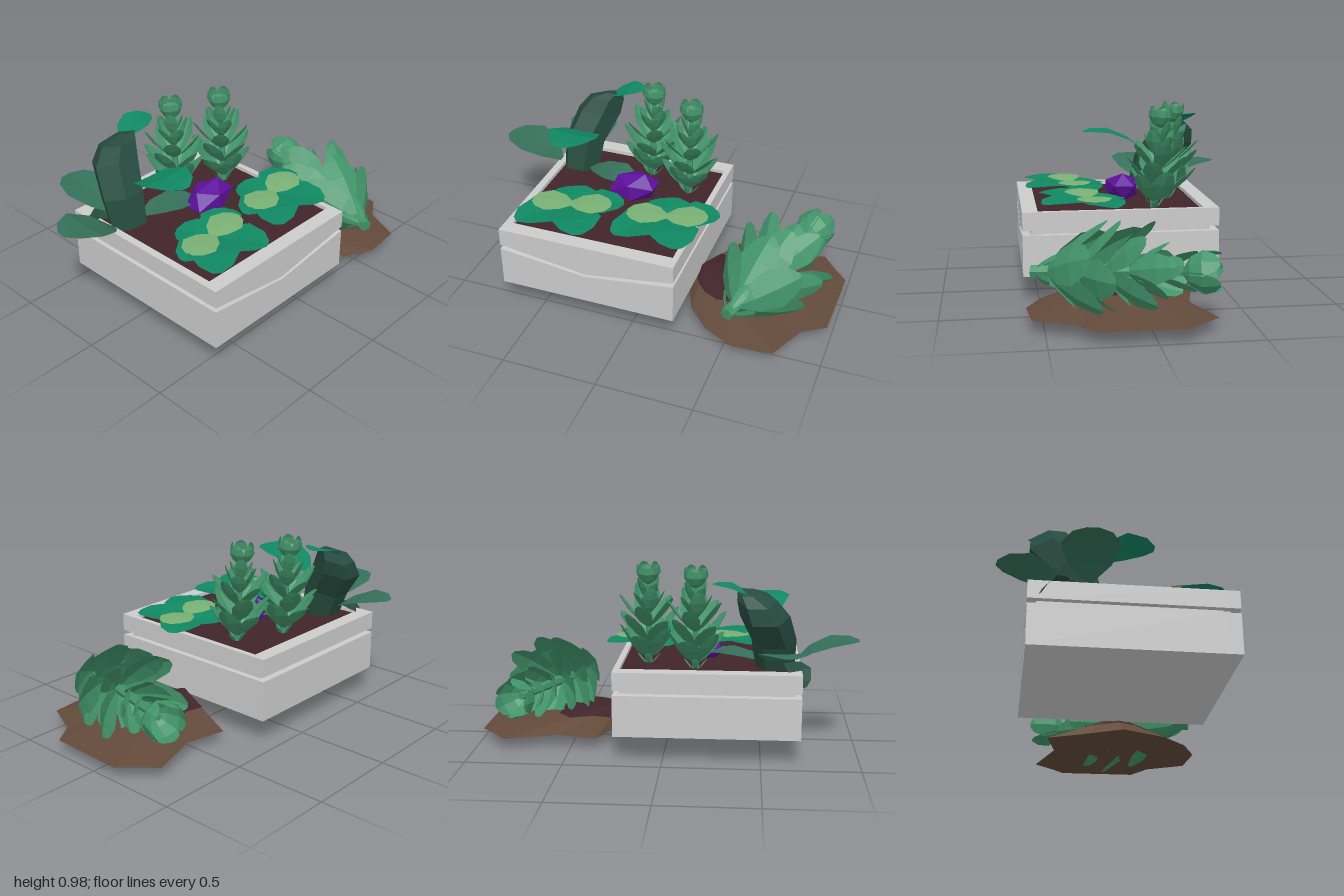
import * as THREE from 'three';

const mat = (color) => new THREE.MeshStandardMaterial({ color, flatShading: true, side: THREE.DoubleSide });
const grey = mat(0xcccccc), soil = mat(0x40252a), earth = mat(0x624a3a), green = mat(0x42946a);
const teal = mat(0x108862), pale = mat(0x79b074), dark = mat(0x264c3f), moss = mat(0x35705a), purple = mat(0x5d109c);
const V = (x, y, z) => new THREE.Vector3(x, y, z);

function add(parent, name, geometry, material, x = 0, y = 0, z = 0) {
  const mesh = new THREE.Mesh(geometry, material);
  mesh.name = name;
  mesh.position.set(x, y, z);
  parent.add(mesh);
  return mesh;
}

function facets(points, index) {
  let g = new THREE.BufferGeometry().setFromPoints(points);
  g.setIndex(index);
  g = g.toNonIndexed();
  g.computeVertexNormals();
  return g;
}

// Fan of triangles from an apex to a closed ring
function fan(apex, ring) {
  const index = [];
  ring.forEach((_, i) => index.push(0, 1 + (i + 1) % ring.length, 1 + i));
  return facets([apex, ...ring], index);
}

// Paddle leaf from base to tip: creased along the midrib and arched by bend
function leaf(from, to, width, { up = V(0, 1, 0), fold = 0.15, bend = 0.1 } = {}) {
  const dir = to.clone().sub(from), length = dir.length();
  const side = up.clone().cross(dir).normalize();
  const normal = dir.clone().cross(side).normalize();
  const points = [], index = [];
  [[0, 0.15], [0.25, 0.72], [0.6, 1], [0.88, 0.65], [1, 0.2]].forEach(([t, w], row) => {
    const mid = from.clone().addScaledVector(dir, t).addScaledVector(normal, bend * length * 4 * t * (1 - t));
    for (const s of [-1, 0, 1]) {
      points.push(mid.clone().addScaledVector(side, s * w * width / 2)
        .addScaledVector(normal, s ? fold * w * width / 2 : 0));
    }
    if (row) for (const c of [0, 1]) {
      const a = row * 3 + c - 3;
      index.push(a, a + 3, a + 1, a + 1, a + 3, a + 4);
    }
  });
  return facets(points, index);
}

// Planter box: lower tub, notched front board, recessed core and rim
function planter() {
  const g = new THREE.Group();
  g.name = 'planter';
  const poly = (pts) => new THREE.Shape(pts.map(([x, y]) => new THREE.Vector2(x, y)));
  const extrude = (shape, depth) => new THREE.ExtrudeGeometry(shape, { depth, bevelEnabled: false });
  add(g, 'tub', new THREE.BoxGeometry(0.95, 0.215, 0.94), grey, -0.225, 0.2975, 0.03);
  add(g, 'frontBoard', extrude(poly([[-0.7, 0.19], [0.25, 0.19], [0.25, 0.405], [-0.225, 0.345], [-0.7, 0.405]]), 0.08), grey, 0, 0, 0.5);
  add(g, 'frontRail', extrude(poly([[-0.7, 0.43], [-0.225, 0.36], [0.25, 0.43], [0.25, 0.525], [-0.7, 0.525]]), 0.08), grey, 0, 0, 0.5);
  add(g, 'core', new THREE.BoxGeometry(0.89, 0.14, 0.93), grey, -0.225, 0.42, 0.07);
  for (const x of [-0.68, 0.235]) {
    add(g, 'sideRail', new THREE.BoxGeometry(x < 0 ? 0.04 : 0.03, 0.095, 0.94), grey, x, 0.4775, 0.03);
  }
  add(g, 'backRail', new THREE.BoxGeometry(0.95, 0.095, 0.08), grey, -0.225, 0.4775, -0.4);
  add(g, 'soilBed', new THREE.BoxGeometry(0.88, 0.02, 0.86), soil, -0.22, 0.495, 0.07);
  return g;
}

// Upright plant: stem with tiers of leaves that climb to a small head
function tieredPlant(name) {
  const g = new THREE.Group();
  g.name = name;
  add(g, 'stem', new THREE.CylinderGeometry(0.02, 0.035, 0.8, 6), green, 0, 0.4, 0);
  const tiers = [ // base height, tip height, reach, width, count
    [0.02, 0.14, 0.1, 0.06, 4], [0.08, 0.36, 0.25, 0.22, 6], [0.22, 0.49, 0.27, 0.19, 5], [0.36, 0.62, 0.25, 0.16, 5],
    [0.48, 0.7, 0.14, 0.15, 5], [0.6, 0.78, 0.1, 0.12, 4], [0.74, 0.92, 0.09, 0.14, 5],
  ];
  tiers.forEach(([y0, y1, reach, width, count], tier) => {
    for (let i = 0; i < count; i++) {
      const a = (i / count) * Math.PI * 2 + tier * 0.8;
      const tip = V(Math.cos(a) * reach, y1 + 0.025 * (i % 2 ? 1 : -1) * (tier < 6 ? 1 : 0), Math.sin(a) * reach);
      add(g, 'leaf', leaf(V(Math.cos(a) * 0.02, y0, Math.sin(a) * 0.02), tip, width,
        { bend: tier === 6 ? -0.22 : -0.06, fold: 0.25 }), green);
    }
  });
  return g;
}

// Low rosette: teal leaves around the base and two pale ones on top
function groundPlant(x, z) {
  const g = new THREE.Group();
  g.name = 'groundPlant';
  g.position.set(x, 0.53, z);
  const leaves = [ // tip x, z, height, width
    [-0.22, 0.25, 0.035, 0.25], [0.13, 0.26, 0.03, 0.26], [0.24, -0.1, 0.025, 0.23], [-0.09, -0.16, 0.02, 0.24],
    [-0.24, 0.04, 0.015, 0.2],
  ];
  for (const [lx, lz, y, w] of leaves) {
    add(g, 'tealLeaf', leaf(V(lx * -0.1, 0, lz * -0.1), V(lx, y, lz), w, { bend: 0.05, fold: 0.1 }), teal);
  }
  add(g, 'paleLeaf', leaf(V(0, 0.04, 0.02), V(-0.215, 0.05, 0.06), 0.19, { bend: 0.04, fold: -0.05 }), pale);
  add(g, 'paleLeaf', leaf(V(-0.02, 0.04, 0.02), V(0.2, 0.05, -0.02), 0.19, { bend: 0.04, fold: -0.05 }), pale);
  return g;
}

// Thick leaning trunk made of six-sided rings, with broad bent leaves
function trunkPlant() {
  const g = new THREE.Group();
  g.name = 'trunkPlant';
  const rings = [ // centre x, y, z, radius
    [-0.57, 0.5, -0.17, 0.1], [-0.56, 0.66, -0.22, 0.115], [-0.51, 0.8, -0.32, 0.125],
    [-0.47, 0.88, -0.34, 0.1], [-0.42, 0.92, -0.33, 0.05],
  ];
  const points = [], index = [];
  rings.forEach(([x, y, z, r], k) => {
    for (let i = 0; i < 6; i++) {
      const a = (i / 6) * Math.PI * 2;
      points.push(V(x + Math.cos(a) * r, y + Math.sin(a) * r * 0.3, z + Math.sin(a) * r));
      if (k) {
        const p = (k - 1) * 6 + i, q = (k - 1) * 6 + (i + 1) % 6;
        index.push(p, p + 6, q, q, p + 6, q + 6);
      }
    }
  });
  for (let i = 1; i < 5; i++) index.push(24, 24 + i + 1, 24 + i);
  add(g, 'trunk', facets(points, index), dark);

  const leaves = [ // base, tip, width, arch, material
    [[-0.5, 0.74, -0.14], [-0.51, 0.84, 0.2], 0.28, 0.12, teal],
    [[-0.45, 0.89, -0.34], [-0.25, 0.96, -0.34], 0.19, 0.1, teal],
    [[-0.68, 0.54, -0.15], [-1, 0.645, -0.16], 0.29, 0.1, moss],
    [[-0.58, 0.54, -0.26], [-0.63, 0.645, -0.59], 0.28, 0.1, moss],
    [[-0.5, 0.53, -0.15], [-0.2, 0.55, -0.04], 0.2, 0.08, moss],
    [[-0.62, 0.54, -0.22], [-0.71, 0.45, -0.38], 0.14, 0.25, dark],
  ];
  for (const [a, b, w, bend, m] of leaves) add(g, 'broadLeaf', leaf(V(...a), V(...b), w, { bend, fold: 0.05 }), m);
  return g;
}

// Earth spilled beside the planter
function spill() {
  const g = new THREE.Group();
  g.name = 'spilledEarth';
  const outline = [[0.36, -0.27], [0.57, -0.22], [0.84, -0.31], [0.93, -0.2], [0.99, -0.14], [0.98, 0.28], [0.86, 0.36],
    [0.77, 0.56], [0.56, 0.58], [0.4, 0.5], [0.28, 0.37], [0.18, 0.13], [0.28, -0.08]];
  const apex = V(0.26, 0.215, 0.1);
  const ring = outline.map(([x, z]) => V(x, 0.12, z));
  add(g, 'mound', fan(apex, ring), earth);
  add(g, 'underside', fan(V(0.6, 0.118, 0.12), ring.slice().reverse()), earth);
  add(g, 'darkSoil', fan(apex, ring.map((p) => apex.clone().lerp(p, 0.46))), soil, 0, 0.004, 0);
  return g;
}

export function createModel() {
  const model = new THREE.Group();
  model.add(planter(), spill(), trunkPlant(), groundPlant(-0.41, 0.27), groundPlant(0.1, 0.21));

  for (const [x, z] of [[-0.16, -0.26], [0.09, -0.15]]) {
    const plant = tieredPlant('uprightPlant');
    plant.position.set(x, 0.485, z + 0.03);
    plant.rotation.x = -0.07;
    plant.scale.setScalar(0.6);
    model.add(plant);
  }

  // The same plant, full size, tipped over on the spilled earth
  const fallen = tieredPlant('fallenPlant');
  fallen.position.set(0.52, 0.29, 0.55);
  fallen.quaternion.setFromUnitVectors(V(0, 1, 0), V(0.27, 0.04, -0.85).normalize());
  model.add(fallen);

  const bloom = add(model, 'purpleBloom', new THREE.IcosahedronGeometry(1, 0), purple, -0.17, 0.57, 0.02);
  bloom.scale.set(0.15, 0.085, 0.1);
  bloom.rotation.z = 0.2;
  return model;
}
